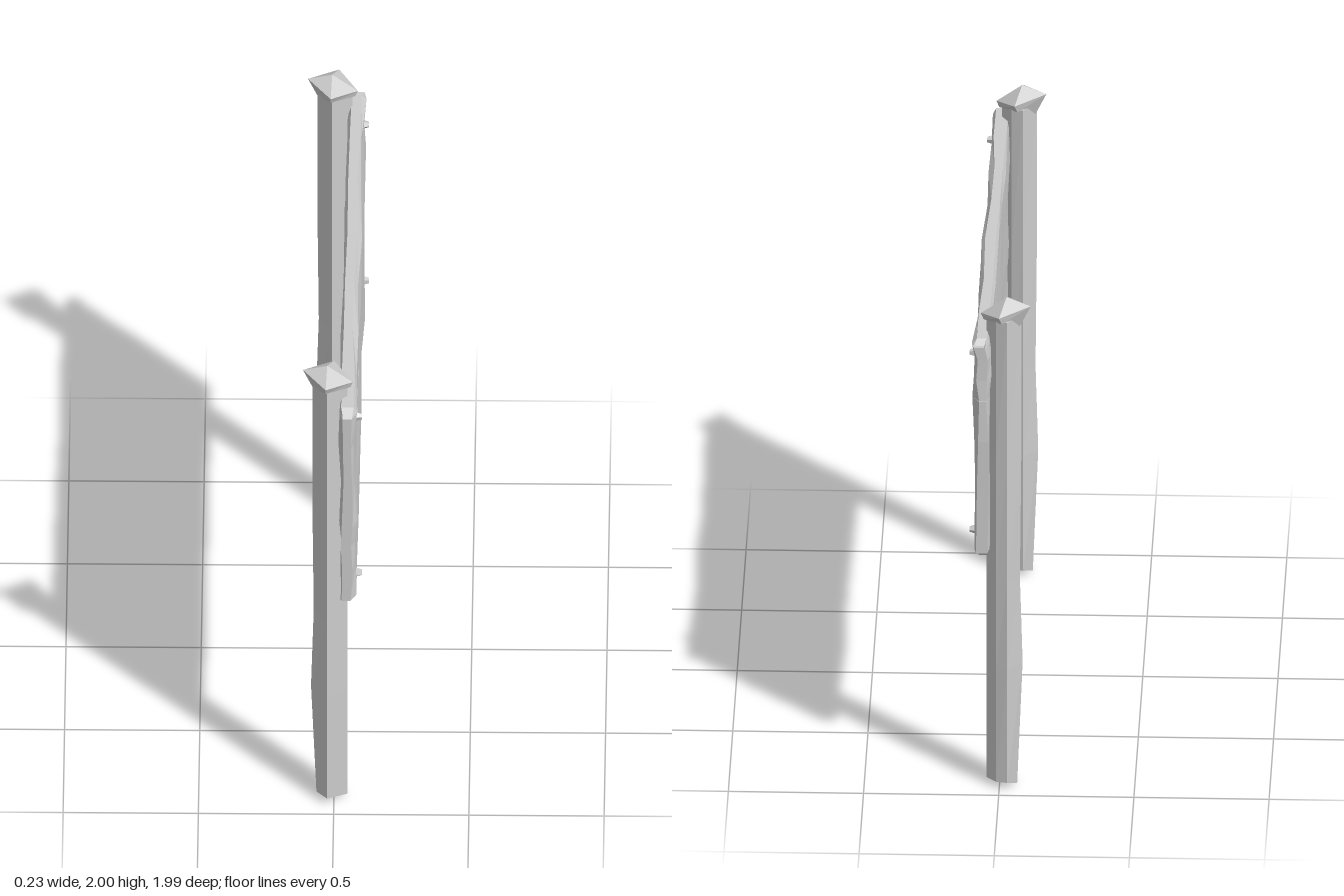
import * as THREE from 'three';

const material = new THREE.MeshStandardMaterial({ color: 0xcccccc, flatShading: true });

function addMesh(parent, geometry, name) {
  const flat = geometry.index ? geometry.toNonIndexed() : geometry;
  flat.computeVertexNormals();
  const mesh = new THREE.Mesh(flat, material);
  mesh.name = name;
  parent.add(mesh);
  return mesh;
}

// Skin over rings of [x, y, z] corners, listed bottom to top, closed at both ends
function loft(rings) {
  const n = rings[0].length;
  const index = [];
  for (let i = 0; i < rings.length - 1; i++) {
    for (let j = 0; j < n; j++) {
      const a = i * n + j, b = i * n + (j + 1) % n;
      index.push(a, b, b + n, a, b + n, a + n);
    }
  }
  const top = (rings.length - 1) * n;
  for (let j = 1; j < n - 1; j++) {
    index.push(0, j + 1, j, top, top + j, top + j + 1);
  }
  const geometry = new THREE.BufferGeometry();
  geometry.setAttribute('position', new THREE.Float32BufferAttribute(rings.flat(2), 3));
  geometry.setIndex(index);
  return geometry;
}

// Repeatable unevenness between -1 and 1
function rough(a, b) {
  const s = Math.sin(a * 12.99 + b * 78.23) * 43758.5453;
  return 2 * (s - Math.floor(s)) - 1;
}

// Hewn post with its corners facing the axes; z is relative to the post centre
function postGeometry() {
  const levels = [ // height, rear corner x, outer corner x
    [0.02, -0.065, 0.05], [0.5, -0.085, 0.05], [0.85, -0.075, 0.05],
    [1.35, -0.08, 0.046], [1.93, -0.08, 0.05],
  ];
  return loft(levels.map(([y, back, front], i) => [
    [back, i ? y : 0.0, -0.01 + 0.008 * rough(i, 1)],
    [-0.025, i ? y : 0.03, 0.068],
    [front, i ? y : 0.01, 0.008 + 0.006 * rough(i, 2)],
    [0.012, i ? y : 0.025, -0.058],
    [-0.03, i ? y : 0.03, -0.075 + 0.004 * rough(i, 3)],
  ]));
}

// Lopsided pointed cap
function capGeometry() {
  const apex = [-0.025, 2.0, -0.002];
  return loft([
    [[-0.075, 1.885, -0.01], [-0.03, 1.925, 0.072], [0.06, 1.905, 0.004], [-0.01, 1.925, -0.078]],
    [[-0.115, 1.97, -0.015], [-0.03, 1.955, 0.088], [0.07, 1.93, 0.005], [0, 1.955, -0.092]],
    [apex, apex, apex, apex],
  ]);
}

// Lower and upper lips of the split in the board
function crack(z) {
  const lerp = THREE.MathUtils.mapLinear;
  const c = THREE.MathUtils.clamp(z, -0.45, 0.95);
  const low = lerp(c, 0.95, -0.45, 1.335, 1.62);
  const high = c > 0.47 ? lerp(c, 0.95, 0.47, 1.335, 1.475) : lerp(c, 0.47, -0.45, 1.475, 1.62);
  return [low, high];
}

// Rough plank: a gridded box whose rows follow the split and whose rim is chamfered
function boardGeometry() {
  const cols = [-0.985, -0.945, -0.72, -0.45, -0.1, 0.2, 0.47, 0.72, 0.95, 0.99];
  const nr = 10, nc = cols.length - 1;
  const geometry = new THREE.BoxGeometry(1, nr, nc, 1, nr, nc);
  const p = geometry.attributes.position;
  for (let i = 0; i < p.count; i++) {
    const r = Math.round(p.getY(i) + nr / 2), c = Math.round(p.getZ(i) + nc / 2);
    const front = p.getX(i) > 0;
    let z = cols[c];
    const [low, high] = crack(z);
    const rows = [0.965, 0.99, 0.965 + (low - 0.965) * 0.45, 0.965 + (low - 0.965) * 0.75,
      low, high, high, high + (1.86 - high) * 0.35, high + (1.86 - high) * 0.7, 1.84, 1.865];
    let y = rows[r];
    const split = r >= 4 && r <= 6;
    const noise = rough(split ? 4 : r, c + (front ? 0 : 20));
    const lean = 0.006 * (0 - z);
    let x = front ? 0.087 + lean + 0.007 * noise : 0.028 + lean + 0.006 * noise;

    const rimR = r === 0 || r === nr, rimC = c === 0 || c === nc;
    if (rimR || rimC) x += front ? -0.014 : 0.008;
    // Corners rounded off, more strongly at the -z end
    if (rimR && rimC) {
      y += r === 0 ? 0.03 : -0.02;
      z += c === 0 ? 0.02 : -0.008;
    } else if (c === 0) {
      z += 0.012 * rough(r, 7);
    }
    if (r === nr) y -= 0.006 * (c < 5 ? 1 : 0);
    if (r > 8 && c < 2) x += 0.01;
    // Floor of the split
    if (front && r === 5 && high - low > 0.001) x -= 0.025;
    p.setXYZ(i, x, y, z);
  }
  return geometry;
}

export function createModel() {
  const model = new THREE.Group();
  model.name = 'signboard';

  for (const [z, side] of [[0.876, 'front'], [-0.88, 'rear']]) {
    const support = new THREE.Group();
    support.name = side + 'Support';
    support.position.z = z;
    addMesh(support, postGeometry(), side + 'Post');
    addMesh(support, capGeometry(), side + 'PostCap');
    model.add(support);
  }

  addMesh(model, boardGeometry(), 'board');

  // Nail heads in the four corners
  for (const z of [0.88, -0.88]) {
    for (const y of [1.04, 1.77]) {
      const nail = addMesh(model, new THREE.CylinderGeometry(0.011, 0.019, 0.026, 5), 'nailHead');
      nail.rotation.set(0.5 * z + y, 0, -Math.PI / 2);
      nail.position.set(z < 0 ? 0.098 : 0.091, y, z);
    }
  }
  return model;
}
